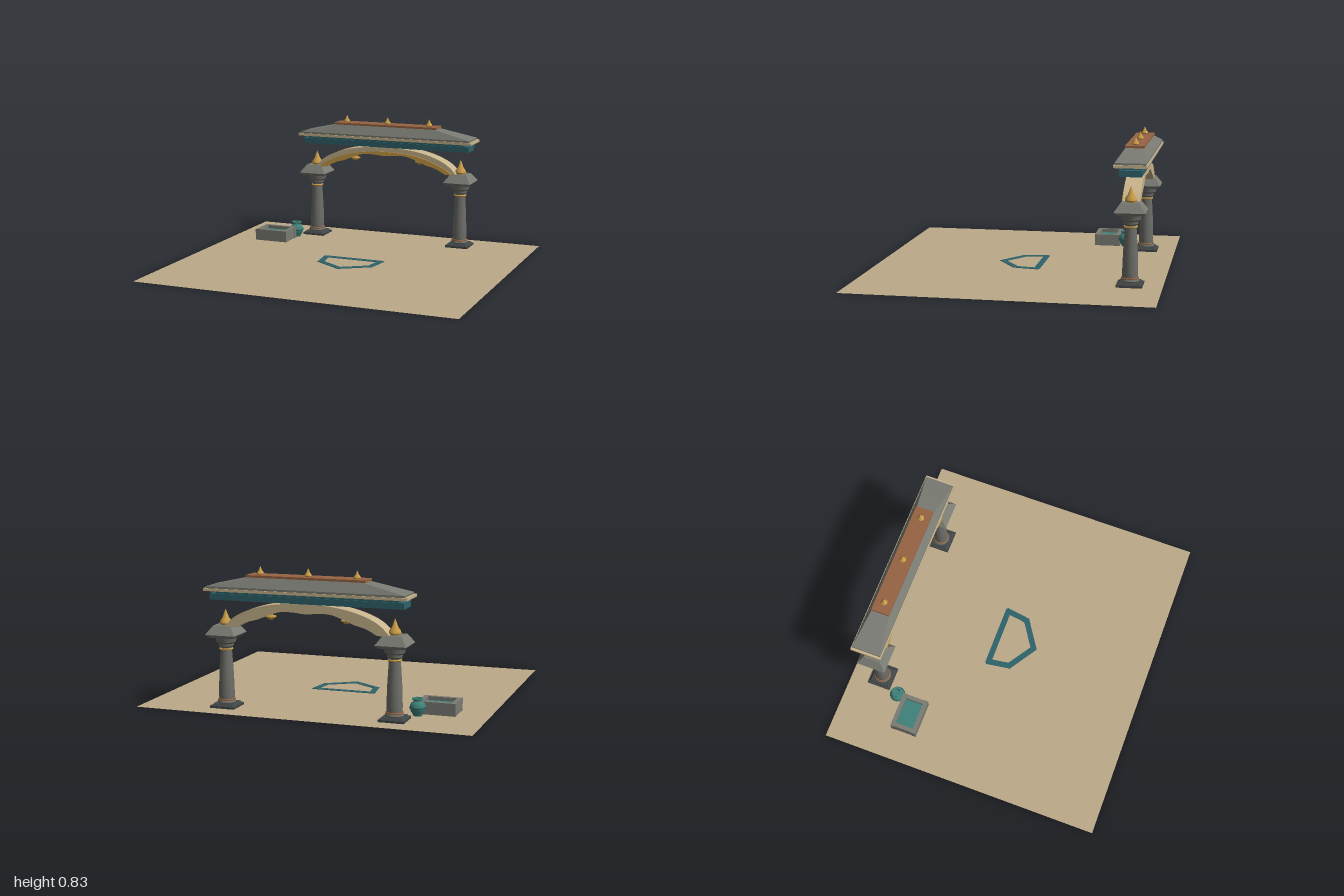
import * as THREE from 'three';
import { toCreasedNormals } from 'three/addons/utils/BufferGeometryUtils.js';

const mat = (name, color, extra = {}) => {
  const m = new THREE.MeshStandardMaterial({ color, ...extra });
  m.name = name;
  return m;
};

export function createModel() {
  const sand = mat('sand', 0xbcaa88, { side: THREE.DoubleSide });
  const stone = mat('stone', 0x7a7b73);
  const shaftStone = mat('shaft stone', 0x6e6f69);
  const darkStone = mat('dark stone', 0x414646);
  const paleTrim = mat('pale trim', 0xc8b48c);
  const deepTeal = mat('deep teal', 0x2d626a);
  const glaze = mat('teal glaze', 0x3f8179);
  const gold = mat('gold', 0xcb9d48);
  const copper = mat('copper', 0x966341);

  const root = new THREE.Group();
  root.name = 'gateCourt';

  function add(parent, name, geo, material, x = 0, y = 0, z = 0) {
    const m = new THREE.Mesh(toCreasedNormals(geo, 0.6), material);
    m.name = name;
    m.position.set(x, y, z);
    parent.add(m);
    return m;
  }
  // box standing on its base
  const block = (w, h, d) => new THREE.BoxGeometry(w, h, d).translate(0, h / 2, 0);
  // box whose top is a different size from its base
  function taper(w, d, topW, topD, h) {
    const g = block(w, h, d), p = g.attributes.position;
    for (let i = 0; i < p.count; i++) {
      if (p.getY(i) > h / 2) p.setXYZ(i, p.getX(i) * topW / w, h, p.getZ(i) * topD / d);
    }
    return g;
  }
  const lathe = (pts, n = 16) =>
    new THREE.LatheGeometry(pts.map(([r, y]) => new THREE.Vector2(r, y)), n);
  const finial = (r, h) => lathe([[0, 0], [r * 0.85, 0], [r, h * 0.14], [r * 0.9, h * 0.27],
    [r * 0.5, h * 0.48], [r * 0.27, h * 0.75], [0, h]], 12);

  // ground sheet
  add(root, 'ground', new THREE.PlaneGeometry(2, 1.78).rotateX(-Math.PI / 2), sand, 0, 0.001, 0);

  // five-sided floor marking
  const corners = [[-0.185, -0.1], [0.185, -0.1], [0.165, 0.035], [0, 0.143], [-0.165, 0.035]];
  corners.forEach(([x, z], i) => {
    const [x2, z2] = corners[(i + 1) % corners.length];
    const len = Math.hypot(x2 - x, z2 - z) + 0.025;
    const strip = add(root, 'floorMarking', block(len, 0.004, 0.036), deepTeal,
      (x + x2) / 2, 0, (z + z2) / 2);
    strip.rotation.y = -Math.atan2(z2 - z, x2 - x);
  });

  // gate, centred on its own origin
  const gate = new THREE.Group();
  gate.name = 'gate';
  gate.position.z = -0.7;
  root.add(gate);

  for (const side of [-1, 1]) {
    const column = new THREE.Group();
    column.name = side > 0 ? 'leftColumn' : 'rightColumn';
    column.position.x = side * 0.51;
    gate.add(column);
    add(column, 'plinth', block(0.15, 0.014, 0.15), darkStone);
    add(column, 'plinthStep', taper(0.135, 0.135, 0.115, 0.115, 0.012), darkStone, 0, 0.014);
    add(column, 'shaft', lathe([[0, 0.022], [0.05, 0.022], [0.055, 0.032], [0.05, 0.043], [0.045, 0.05],
      [0.046, 0.08], [0.042, 0.2], [0.034, 0.33], [0.034, 0.36]]), shaftStone);
    add(column, 'footRing', new THREE.TorusGeometry(0.046, 0.006, 6, 16).rotateX(Math.PI / 2),
      copper, 0, 0.046);
    add(column, 'neckRing', new THREE.TorusGeometry(0.036, 0.006, 6, 16).rotateX(Math.PI / 2),
      gold, 0, 0.343);
    add(column, 'capitalBowl', lathe([[0.034, 0.352], [0.043, 0.36], [0.045, 0.375], [0.057, 0.385],
      [0.06, 0.4], [0.067, 0.418], [0, 0.418]]), shaftStone);
    add(column, 'capitalLower', taper(0.145, 0.145, 0.182, 0.182, 0.018), stone, 0, 0.414);
    add(column, 'capitalUpper', taper(0.182, 0.182, 0.108, 0.108, 0.052), stone, 0, 0.432);
    add(column, 'capitalFinial', finial(0.036, 0.094), gold, 0, 0.482);
  }

  // arch outline, mirrored from half profiles running from foot to crown
  const outer = [[0.5, 0.475], [0.44, 0.535], [0.36, 0.578], [0.25, 0.611], [0.12, 0.63], [0, 0.635]];
  const inner = [[0.42, 0.48], [0.36, 0.512], [0.29, 0.532], [0.23, 0.556], [0.15, 0.582],
    [0.07, 0.583], [0, 0.577]];
  const middle = [[0.47, 0.478], [0.42, 0.512], [0.35, 0.545], [0.25, 0.58], [0.12, 0.6], [0, 0.605]];
  const curve = (half) => new THREE.SplineCurve([
    ...half.map(([x, y]) => new THREE.Vector2(-x, y)),
    ...half.slice(0, -1).reverse().map(([x, y]) => new THREE.Vector2(x, y)),
  ]).getPoints(48);
  function arch(top, bottom, depth) {
    const shape = new THREE.Shape([...curve(bottom), ...curve(top).reverse()]);
    return new THREE.ExtrudeGeometry(shape, { depth, bevelEnabled: false });
  }
  add(gate, 'archBeam', arch(outer, inner, 0.1), paleTrim, 0, 0, -0.05);
  add(gate, 'archGilding', arch(middle, inner, 0.008), gold, 0, 0, 0.049);

  // hanging bosses below the arch
  for (const x of [-0.228, 0.228]) {
    add(gate, 'pendant', lathe([[0, 0.525], [0.014, 0.529], [0.018, 0.536], [0.032, 0.543],
      [0.032, 0.549], [0.012, 0.553], [0.01, 0.575], [0, 0.575]], 12), gold, x);
  }

  // stacked beams and roof
  add(gate, 'lintel', block(1.16, 0.036, 0.13), deepTeal, 0, 0.635);
  add(gate, 'upperLintel', block(1.09, 0.018, 0.115), deepTeal, 0, 0.671);
  add(gate, 'eave', block(1.21, 0.016, 0.19), paleTrim, 0, 0.687);
  add(gate, 'roofEdge', block(1.18, 0.011, 0.178), stone, 0, 0.703);
  add(gate, 'roof', taper(1.18, 0.178, 0.67, 0.105, 0.058), stone, 0, 0.714);
  add(gate, 'ridgeBoard', block(0.714, 0.013, 0.112), copper, 0, 0.771);
  for (const x of [-0.29, 0, 0.29]) add(gate, 'ridgeFinial', finial(0.021, 0.048), gold, x, 0.783);

  // water trough
  const trough = new THREE.Group();
  trough.name = 'trough';
  trough.position.set(-0.7, 0, -0.436);
  root.add(trough);
  add(trough, 'troughFloor', block(0.2, 0.02, 0.14), stone);
  for (const s of [-1, 1]) {
    add(trough, 'troughLongWall', block(0.226, 0.075, 0.026), stone, 0, 0, s * 0.07);
    add(trough, 'troughEndWall', block(0.026, 0.075, 0.115), stone, s * 0.098, 0, 0);
  }
  add(trough, 'water', block(0.175, 0.035, 0.118), glaze, 0, 0.018);

  // glazed jar
  add(root, 'jar', lathe([[0, 0], [0.026, 0], [0.028, 0.008], [0.039, 0.026], [0.046, 0.045],
    [0.046, 0.056], [0.039, 0.073], [0.025, 0.084], [0.024, 0.091], [0.033, 0.096], [0.033, 0.102],
    [0.021, 0.102], [0.018, 0.085], [0, 0.08]]), glaze, -0.603, 0, -0.557);
  add(root, 'jarBand', new THREE.TorusGeometry(0.045, 0.004, 6, 16).rotateX(Math.PI / 2),
    deepTeal, -0.603, 0.05, -0.557);

  return root;
}
